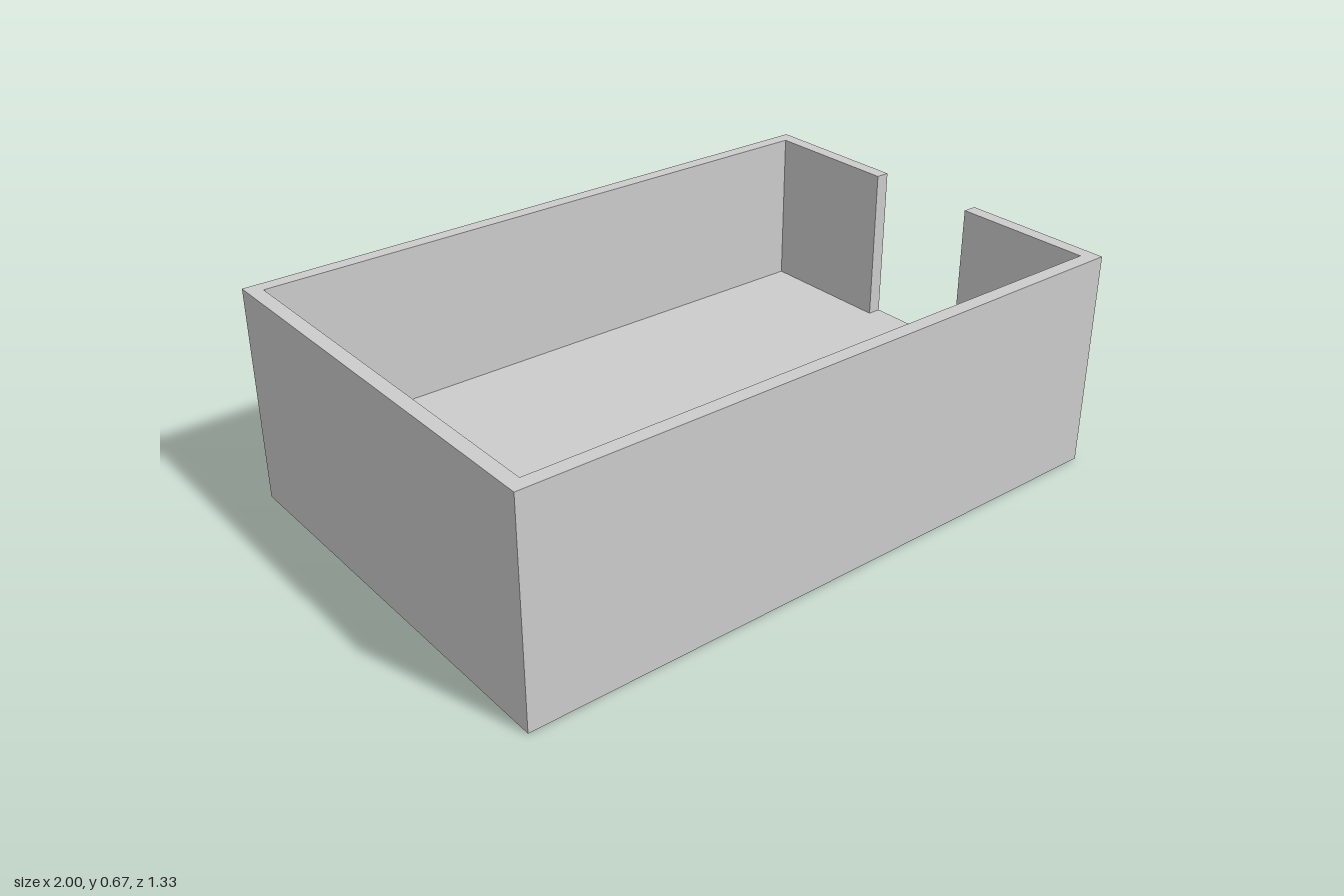
import * as THREE from 'three';

const X = 1, Z = 0.667, H = 0.668; // half width, half depth, total height
const FLOOR = 0.183;               // floor height above the ground
const T = 0.043;                   // wall thickness
const GAP = 0.185;                 // half width of the opening in the +x wall

export function createModel() {
  const group = new THREE.Group();
  const solid = new THREE.MeshStandardMaterial({ color: 0xcccccc });
  const sheet = new THREE.MeshStandardMaterial({ color: 0xcccccc, side: THREE.DoubleSide });

  const add = (name, geometry, material) => {
    const mesh = new THREE.Mesh(geometry, material);
    mesh.name = name;
    group.add(mesh);
    return mesh;
  };

  // Wall: one outline running round the tray, open in the middle of the +x side
  const outline = [
    [X, GAP], [X, Z], [-X, Z], [-X, -Z], [X, -Z], [X, -GAP],
    [X - T, -GAP], [X - T, -Z + T], [-X + T, -Z + T],
    [-X + T, Z - T], [X - T, Z - T], [X - T, GAP],
  ];
  const shape = new THREE.Shape(outline.map(([x, z]) => new THREE.Vector2(x, z)));
  const wallGeometry = new THREE.ExtrudeGeometry(shape, { depth: H - FLOOR, bevelEnabled: false });
  wallGeometry.rotateX(-Math.PI / 2);
  add('wall', wallGeometry, solid).position.y = FLOOR;

  // Floor: thin sheet reaching the outer edge, visible from below too
  const floorGeometry = new THREE.PlaneGeometry(2 * X, 2 * Z).rotateX(-Math.PI / 2);
  add('floor', floorGeometry, sheet).position.y = FLOOR;

  // Skirt: four thin panels under the floor, open at the bottom
  const sides = [['front', 2 * X, Z], ['left', 2 * Z, X], ['back', 2 * X, Z], ['right', 2 * Z, X]];
  sides.forEach(([side, width, distance], i) => {
    const panel = new THREE.PlaneGeometry(width, FLOOR);
    panel.translate(0, FLOOR / 2, distance).rotateY(i * Math.PI / 2);
    add(side + 'Skirt', panel, sheet);
  });

  return group;
}
